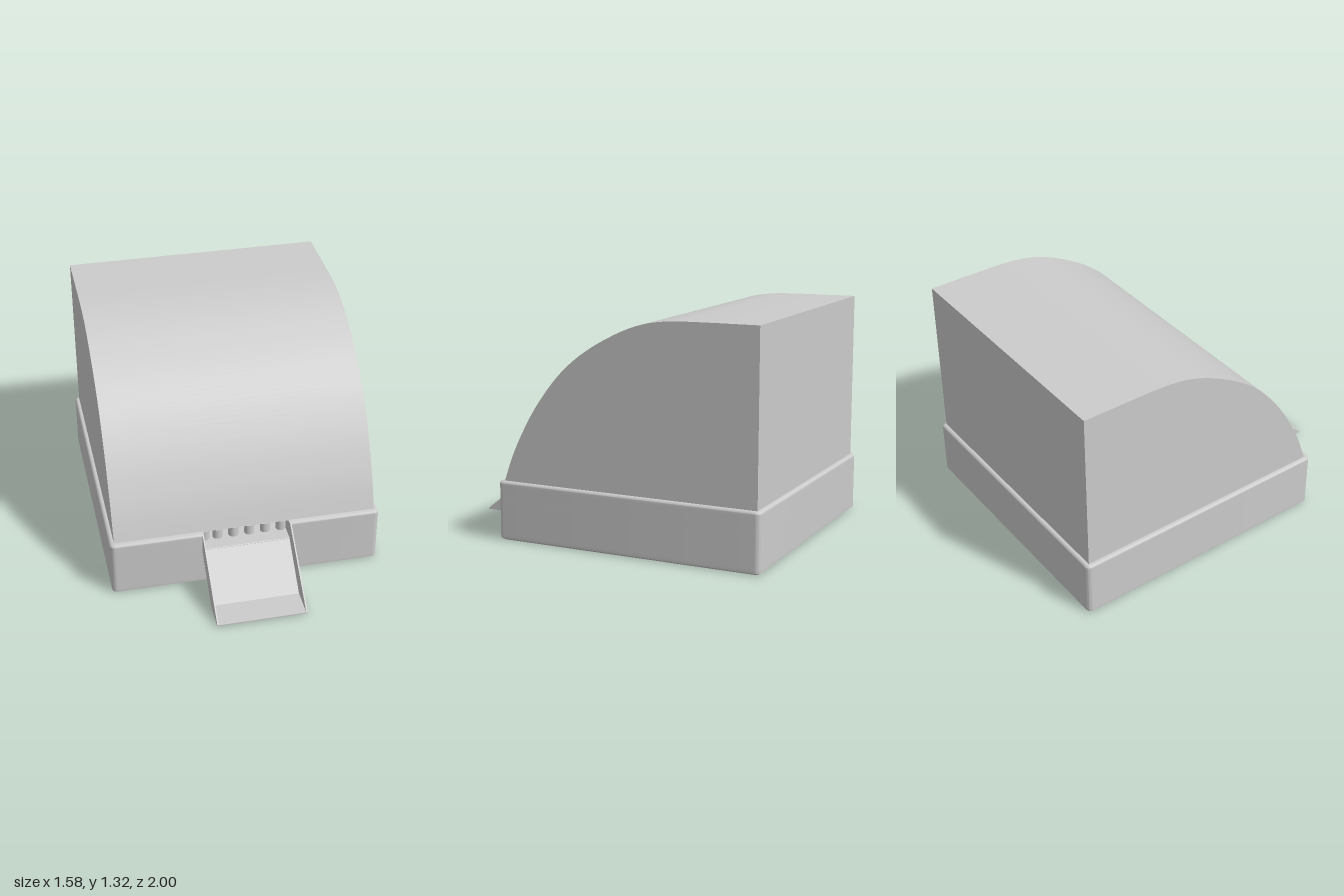
import * as THREE from 'three';
import { toCreasedNormals } from 'three/addons/utils/BufferGeometryUtils.js';

const material = new THREE.MeshStandardMaterial({ color: 0xcccccc, side: THREE.DoubleSide });
const TOP = 0.342, SILL = 0.23, HALF = 0.79, FRONT = 0.595, BACK = -1, MOUTH = 0.255;

function part(group, name, geometry) {
  const mesh = new THREE.Mesh(geometry, material);
  mesh.name = name;
  group.add(mesh);
  return mesh;
}

// Side profile of [z, y] points, extruded across x and centred on x
function across(points, width, x = 0) {
  const shape = new THREE.Shape(points.map(([z, y]) => new THREE.Vector2(z, y)));
  const g = new THREE.ExtrudeGeometry(shape, { depth: width, bevelEnabled: false });
  g.translate(0, 0, -width / 2).rotateY(-Math.PI / 2).translate(x, 0, 0);
  return toCreasedNormals(g, 0.5);
}

// Rounded footprint of the base; recess cuts a pocket into its front edge
function footprint(recess) {
  const r = 0.03, f = -FRONT, b = -BACK, s = new THREE.Shape();
  s.moveTo(-HALF + r, f);
  if (recess) {
    s.lineTo(-MOUTH, f).lineTo(-MOUTH, f + recess);
    s.lineTo(MOUTH, f + recess).lineTo(MOUTH, f);
  }
  s.lineTo(HALF - r, f).absarc(HALF - r, f + r, r, -Math.PI / 2, 0);
  s.lineTo(HALF, b - r).absarc(HALF - r, b - r, r, 0, Math.PI / 2);
  s.lineTo(-HALF + r, b).absarc(-HALF + r, b - r, r, Math.PI / 2, Math.PI);
  s.lineTo(-HALF, f + r).absarc(-HALF + r, f + r, r, Math.PI, Math.PI * 1.5);
  return s;
}

// Slab of the base with its bottom or top edge slightly rounded
function slab(y0, y1, recess) {
  const g = new THREE.ExtrudeGeometry(footprint(recess), {
    depth: y1 - y0, steps: 24, bevelEnabled: false, curveSegments: 6 });
  g.rotateX(-Math.PI / 2).translate(0, y0, 0);
  const p = g.attributes.position, r = 0.014, midZ = (FRONT + BACK) / 2;
  for (let i = 0; i < p.count; i++) {
    const y = p.getY(i);
    const t = Math.max(0, 1 - Math.min(y, TOP - y) / r);
    const inset = r * (1 - Math.sqrt(Math.max(0, 1 - t * t)));
    p.setX(i, p.getX(i) * (1 - inset / HALF));
    p.setZ(i, midZ + (p.getZ(i) - midZ) * (1 - inset / HALF));
  }
  return toCreasedNormals(g, 0.8);
}

export function createModel() {
  const model = new THREE.Group();
  model.name = 'hoodedMachine';

  // Base tray with a pocket behind the outlet
  part(model, 'baseLower', slab(0, SILL, 0));
  part(model, 'baseUpper', slab(SILL, TOP, 0.3));

  // Curved hood
  const curve = new THREE.SplineCurve([
    [0.565, 0.34], [0.5, 0.515], [0.4, 0.71], [0.3, 0.86], [0.2, 0.98], [0.1, 1.07],
    [0, 1.14], [-0.1, 1.197], [-0.2, 1.245], [-0.3, 1.28], [-0.4, 1.3], [-0.55, 1.311], [-0.975, 1.315],
  ].map(([z, y]) => new THREE.Vector2(z, y)));
  const profile = curve.getPoints(60).map((v) => [v.x, v.y]);
  part(model, 'hood', across([...profile, [-0.975, 0.34]], 1.53));

  // Rail and row of short pins inside the outlet
  const rail = part(model, 'outletRail', new THREE.BoxGeometry(MOUTH * 2, 0.045, 0.05));
  rail.position.set(0, 0.314, 0.48);
  for (let i = 0; i < 6; i++) {
    const pin = part(model, 'outletPin', new THREE.CylinderGeometry(0.03, 0.03, 0.062, 16));
    pin.position.set(-0.245 + i * 0.0945, 0.261, 0.48);
    if (i === 0) pin.position.x = -0.226;
  }

  // Chute: sloping floor with a flat lip, and two thin cheeks
  const chute = new THREE.Group();
  chute.name = 'chute';
  model.add(chute);
  part(chute, 'chuteFloor', across([
    [0.59, 0.218], [0.83, 0.005], [1, 0.005], [1, 0.013], [0.835, 0.015], [0.59, 0.233],
  ], MOUTH * 2));
  for (const side of [-1, 1]) {
    part(chute, 'chuteCheek', across([
      [0.59, 0.218], [0.83, 0.005], [1, 0.005], [1, 0.013], [0.595, TOP], [0.59, TOP],
    ], 0.008, side * (MOUTH + 0.002)));
  }
  return model;
}
